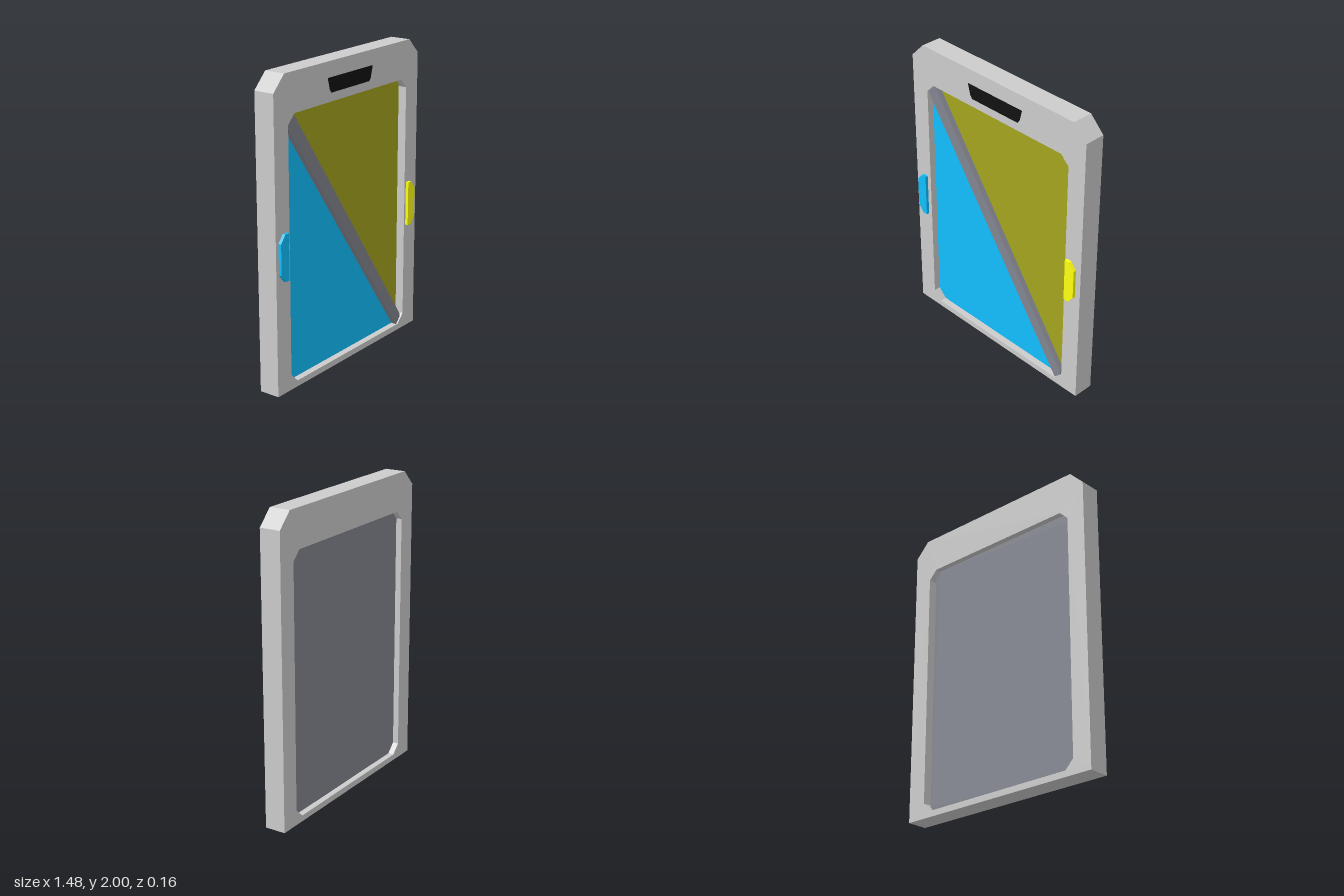
import * as THREE from 'three';

const FRONT = 0.06, BACK = -0.08;
const GREY = 0xcccccc, SLATE = 0x82858f, BLUE = 0x11bfff, OLIVE = 0xa4a41f, YELLOW = 0xffff10, BLACK = 0x111111;

const toPoints = (list) => list.map(([x, y]) => new THREE.Vector2(x, y));

// Straight-sided plate from an outline, running from z0 to z1
function plate(name, outline, z0, z1, color, hole) {
  const shape = new THREE.Shape(toPoints(outline));
  if (hole) shape.holes.push(new THREE.Path(toPoints(hole)));
  const geometry = new THREE.ExtrudeGeometry(shape, { depth: z1 - z0, bevelEnabled: false });
  geometry.translate(0, 0, z0);
  const mesh = new THREE.Mesh(geometry, new THREE.MeshStandardMaterial({ color, flatShading: true }));
  mesh.name = name;
  return mesh;
}

export function createModel() {
  const group = new THREE.Group();
  group.name = 'framedPanel';

  // Frame with chamfered top corners and a chamfered opening
  const outer = [[-0.74, 0], [0.74, 0], [0.74, 1.9], [0.64, 2], [-0.64, 2], [-0.74, 1.9]];
  const opening = [[-0.55, 0.04], [0.55, 0.04], [0.61, 0.1], [0.61, 1.69], [0.55, 1.75],
    [-0.55, 1.75], [-0.61, 1.69], [-0.61, 0.1]];
  group.add(plate('frame', outer, BACK, FRONT, GREY, opening));

  // Backing plate, stopping short of the opening's left side to leave a slit
  const backing = [[-0.55, 0.04], [0.55, 0.04], [0.59, 0.08], [0.59, 1.71], [0.55, 1.75],
    [-0.55, 1.75], [-0.61, 1.69], [-0.61, 0.1]];
  group.add(plate('backingPlate', backing, -0.04, 0.005, SLATE));

  // Two coloured triangular panels split by a raised diagonal bar
  group.add(plate('lowerPanel', [[-0.61, 0.1], [-0.55, 0.04], [0.54, 0.04], [-0.61, 1.68]], 0.005, 0.015, BLUE));
  group.add(plate('upperPanel', [[0.59, 0.1], [0.59, 1.71], [0.55, 1.75], [-0.55, 1.75]], 0.005, 0.015, OLIVE));
  group.add(plate('diagonalBar',
    [[-0.61, 1.68], [0.54, 0.04], [0.55, 0.04], [0.59, 0.08], [0.59, 0.1], [-0.55, 1.75], [-0.61, 1.69]],
    0.005, 0.05, SLATE));

  // Dark slot above the panels
  group.add(plate('topSlot',
    [[-0.23, 1.9], [-0.21, 1.825], [-0.195, 1.805], [0.195, 1.805], [0.21, 1.825], [0.23, 1.9]],
    FRONT - 0.01, FRONT + 0.002, BLACK));

  // Side tabs with chamfered outer corners
  const tab = (name, side, inner, color) => {
    const pts = [[0, 0.74], [0.035, 0.74], [0.075, 0.79], [0.075, 0.99], [0.035, 1.04], [0, 1.04]];
    group.add(plate(name, pts.map(([x, y]) => [side * (inner + x), y]), FRONT - 0.01, 0.08, color));
  };
  tab('rightTab', -1, 0.64, BLUE);
  tab('leftTab', 1, 0.625, YELLOW);

  return group;
}
